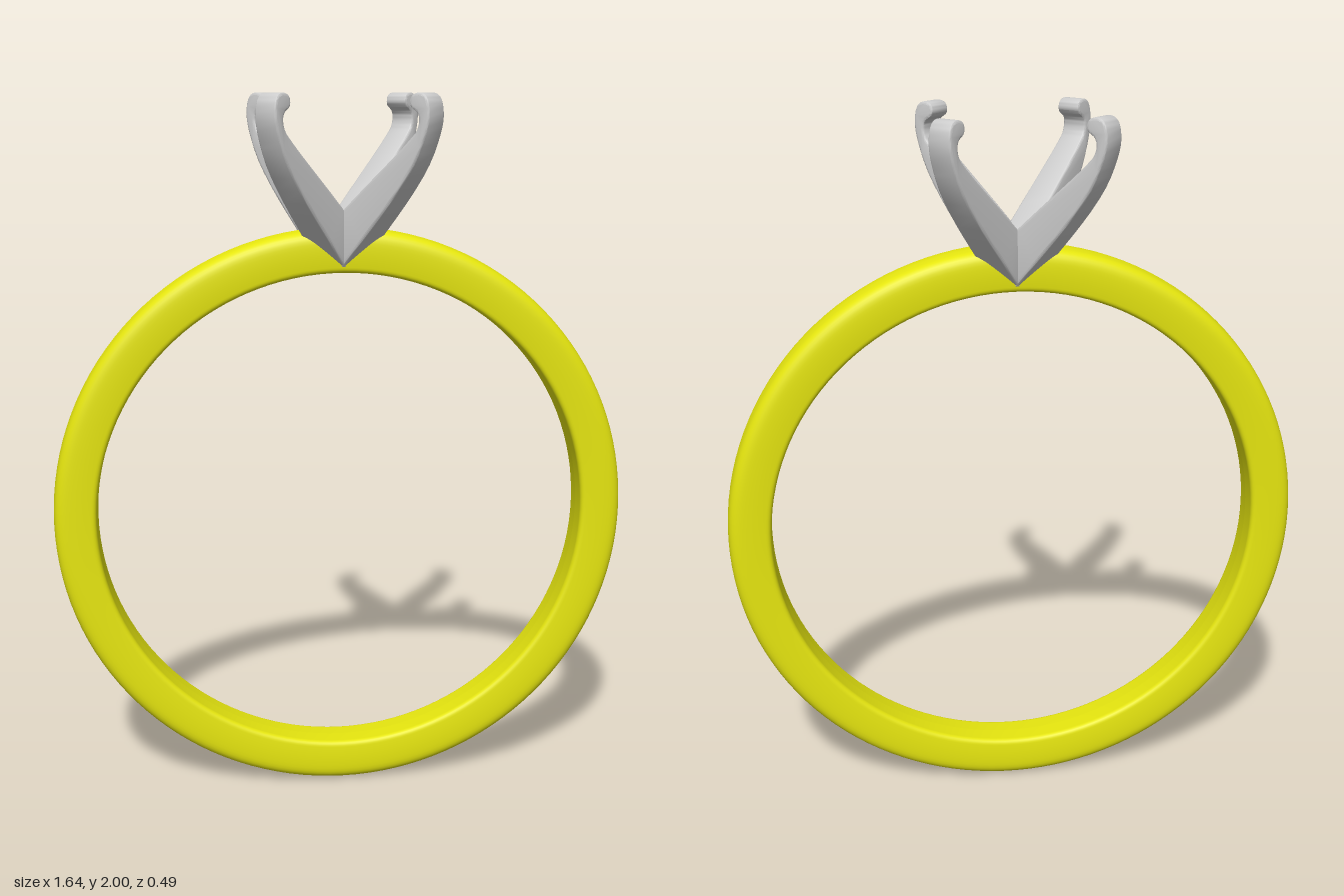
import * as THREE from 'three';
import { toCreasedNormals } from 'three/addons/utils/BufferGeometryUtils.js';

const gold = new THREE.MeshStandardMaterial({ color: 0xe6e60f });
const grey = new THREE.MeshStandardMaterial({ color: 0xcccccc });

const RING_Y = 0.822;

// Band: soft-cornered cross-section with a domed outside, turned around the z axis
function makeBand() {
  const s = new THREE.Shape();
  s.moveTo(0.695, 0);
  s.lineTo(0.696, 0.045);
  s.quadraticCurveTo(0.697, 0.06, 0.712, 0.061);
  s.quadraticCurveTo(0.75, 0.065, 0.78, 0.063);
  s.quadraticCurveTo(0.81, 0.061, 0.815, 0.035);
  s.quadraticCurveTo(0.818, 0.015, 0.818, 0);
  const half = s.getPoints(6);
  const lower = half.slice(0, -1).reverse().map((p) => new THREE.Vector2(p.x, -p.y));
  // counter-clockwise from the outer equator, so faces point outward
  const profile = [...lower.slice().reverse(), ...half.slice().reverse()];
  profile.push(profile[0].clone());
  const geo = new THREE.LatheGeometry(profile, 128);
  geo.rotateX(Math.PI / 2);
  const band = new THREE.Mesh(geo, gold);
  band.name = 'band';
  band.position.y = RING_Y;
  return band;
}

// Prong: side profile (distance from axis, height) with a hooked tip
function makeProngGeometry() {
  const s = new THREE.Shape();
  s.moveTo(-0.01, 1.52);
  s.lineTo(0.03, 1.52);
  s.lineTo(0.08, 1.578);
  s.bezierCurveTo(0.15, 1.66, 0.25, 1.765, 0.285, 1.845);
  s.bezierCurveTo(0.302, 1.885, 0.316, 1.92, 0.314, 1.95);
  s.bezierCurveTo(0.313, 1.985, 0.3, 2.0, 0.28, 2.0);
  s.bezierCurveTo(0.262, 2.0, 0.25, 1.992, 0.251, 1.975);
  s.bezierCurveTo(0.252, 1.957, 0.268, 1.958, 0.276, 1.948);
  s.bezierCurveTo(0.286, 1.935, 0.282, 1.912, 0.27, 1.897);
  s.bezierCurveTo(0.22, 1.845, 0.15, 1.79, 0.045, 1.695);
  s.lineTo(-0.01, 1.64);
  s.closePath();

  const H = 0.048, B = 0.007;
  const geo = new THREE.ExtrudeGeometry(s, {
    depth: 2 * (H - B), curveSegments: 8,
    bevelThickness: B, bevelSize: B, bevelOffset: -B, bevelSegments: 3,
  });
  geo.translate(0, 0, -(H - B));
  // taper the width toward the tip
  const p = geo.attributes.position;
  for (let i = 0; i < p.count; i++) {
    const t = THREE.MathUtils.clamp((p.getY(i) - 1.6) / 0.4, 0, 1);
    p.setZ(i, p.getZ(i) * (1 - 0.29 * t));
  }
  return toCreasedNormals(geo, 0.6);
}

export function createModel() {
  const model = new THREE.Group();
  model.name = 'ring';
  model.add(makeBand());

  // Setting: four prongs on the diagonals
  const setting = new THREE.Group();
  setting.name = 'setting';
  const prongGeo = makeProngGeometry();
  for (let i = 0; i < 4; i++) {
    const prong = new THREE.Mesh(prongGeo, grey);
    prong.name = 'prong' + (i + 1);
    prong.rotation.y = Math.PI / 4 + (i * Math.PI) / 2;
    setting.add(prong);
  }
  model.add(setting);
  return model;
}
